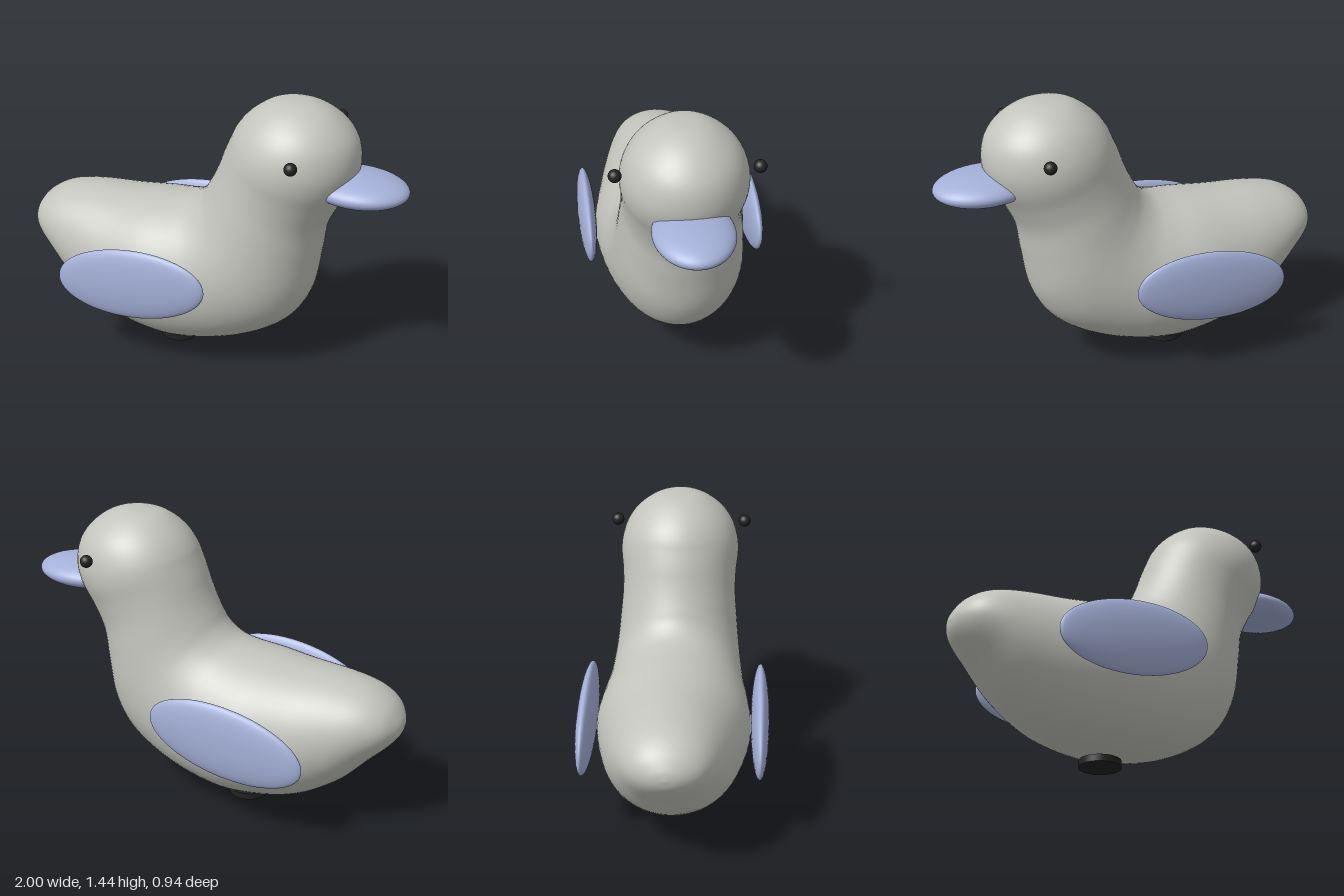
import * as THREE from 'three';
import { mergeVertices } from 'three/addons/utils/BufferGeometryUtils.js';

// Body cross-sections from tail to crown: upper x, y, lower x, y, half-width
const SECTIONS = [
  [-1, 0.57, -1, 0.57, 0],
  [-0.985, 0.62, -0.985, 0.52, 0.075],
  [-0.93, 0.69, -0.94, 0.46, 0.16],
  [-0.83, 0.745, -0.85, 0.37, 0.225],
  [-0.68, 0.775, -0.7, 0.22, 0.285],
  [-0.48, 0.79, -0.48, 0.095, 0.34],
  [-0.3, 0.81, -0.2, 0.05, 0.38],
  [-0.17, 0.825, 0.03, 0.075, 0.37],
  [-0.09, 0.85, 0.25, 0.15, 0.345],
  [-0.03, 0.9, 0.43, 0.27, 0.325],
  [0.005, 0.96, 0.53, 0.43, 0.31],
  [0.035, 1.02, 0.57, 0.64, 0.297],
  [0.06, 1.08, 0.595, 0.8, 0.288],
  [0.085, 1.15, 0.65, 0.925, 0.29],
  [0.115, 1.22, 0.715, 1.04, 0.3],
  [0.14, 1.275, 0.745, 1.14, 0.292],
  [0.18, 1.33, 0.735, 1.245, 0.262],
  [0.235, 1.38, 0.69, 1.325, 0.213],
  [0.3, 1.42, 0.61, 1.395, 0.14],
  [0.37, 1.435, 0.52, 1.433, 0.07],
  [0.44, 1.44, 0.44, 1.44, 0],
];

// Smooth skin of elliptical rings hung between the upper and lower outlines
function bodyGeometry(rings = 120, sides = 64) {
  const v = (x, y, z) => new THREE.Vector3(x, y, z);
  const upper = new THREE.CatmullRomCurve3(SECTIONS.map((s) => v(s[0], s[1], s[4])), false, 'catmullrom');
  const lower = new THREE.CatmullRomCurve3(SECTIONS.map((s) => v(s[2], s[3], 0)), false, 'catmullrom');
  const positions = [];
  const index = [];
  for (let i = 0; i <= rings; i++) {
    const u = upper.getPoint(i / rings);
    const l = lower.getPoint(i / rings);
    for (let j = 0; j < sides; j++) {
      const a = (j / sides) * Math.PI * 2;
      const k = (1 + Math.cos(a)) / 2;
      positions.push(l.x + (u.x - l.x) * k, l.y + (u.y - l.y) * k, u.z * Math.sin(a));
      if (i < rings) {
        const p = i * sides + j;
        const q = i * sides + ((j + 1) % sides);
        index.push(p, q, p + sides, q, q + sides, p + sides);
      }
    }
  }
  const g = new THREE.BufferGeometry();
  g.setAttribute('position', new THREE.Float32BufferAttribute(positions, 3));
  g.setIndex(index);
  const welded = mergeVertices(g, 1e-5);
  welded.computeVertexNormals();
  return welded;
}

export function createModel() {
  const group = new THREE.Group();
  const material = (name, color) => {
    const m = new THREE.MeshStandardMaterial({ color });
    m.name = name;
    return m;
  };
  const grey = material('warm grey', 0xc4c4be);
  const blue = material('pale blue', 0xa4b0d8);
  const black = material('black', 0x222222);

  const add = (name, geometry, mat, x = 0, y = 0, z = 0) => {
    const mesh = new THREE.Mesh(geometry, mat);
    mesh.name = name;
    mesh.position.set(x, y, z);
    group.add(mesh);
    return mesh;
  };
  const ellipsoid = (rx, ry, rz) => new THREE.SphereGeometry(1, 48, 32).scale(rx, ry, rz);

  // Body, neck and head in one skin
  add('body', bodyGeometry(), grey);

  // Flat oval beak
  add('beak', ellipsoid(0.25, 0.073, 0.188), blue, 0.746, 1.057, 0);

  // Wings and eyes on both sides
  for (const [side, s] of [['right', 1], ['left', -1]]) {
    add(side + 'Wing', ellipsoid(0.406, 0.187, 0.046), blue, -0.255, 0.497, s * 0.423).rotation.z = 0.157;
    add(side + 'Eye', new THREE.SphereGeometry(0.031, 24, 16), black, 0.535, 1.248, s * 0.328);
  }

  // Round foot disc
  add('foot', new THREE.CylinderGeometry(0.102, 0.102, 0.034, 40), black, -0.19, 0.017, 0);

  return group;
}
